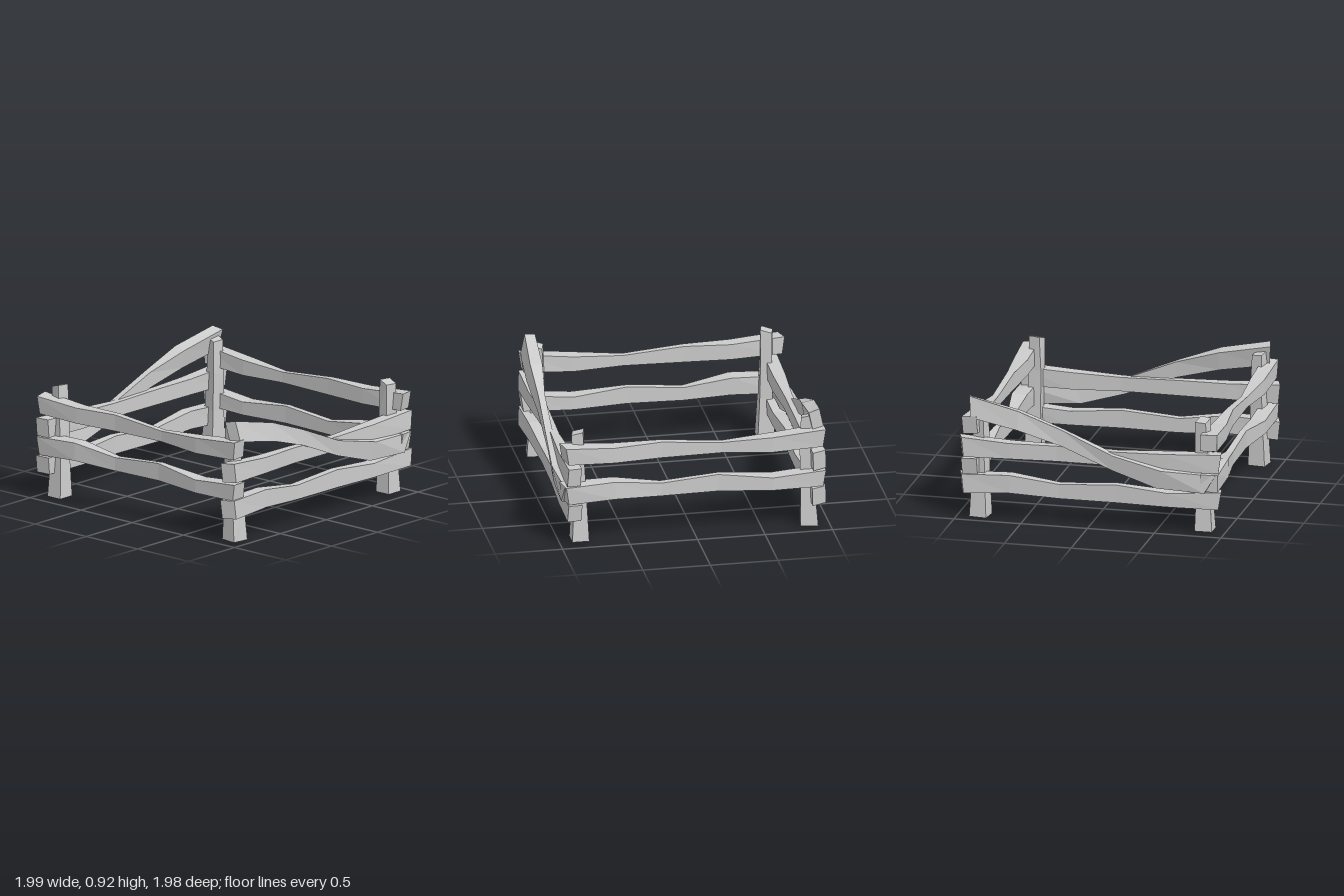
import * as THREE from 'three';

const material = new THREE.MeshStandardMaterial({ color: 0xcccccc, flatShading: true });

// Which world axes a beam's (along, u, v) coordinates map to; all right-handed.
const AXES = {
  x: (a, u, v) => [a, u, v],
  y: (a, u, v) => [v, a, u],
  z: (a, u, v) => [u, v, a],
};

// Rough-hewn beam: lofts four-sided sections, capped at both ends.
// Row: [along, uMin, uMax, vMin, vMax, roll, uSlant, vSlant]; a slant tilts the section along the beam.
function beam(name, axis, rows) {
  const rings = rows.map(([a, u0, u1, v0, v1, roll = 0, su = 0, sv = 0]) => {
    const cu = (u0 + u1) / 2, cv = (v0 + v1) / 2;
    const hu = (u1 - u0) / 2, hv = (v1 - v0) / 2;
    const c = Math.cos(roll), s = Math.sin(roll);
    return [[-1, -1], [1, -1], [1, 1], [-1, 1]].map(([p, q]) => AXES[axis](
      a + su * p + sv * q,
      cu + p * hu * c - q * hv * s,
      cv + p * hu * s + q * hv * c,
    ));
  });
  const pos = [];
  const quad = (a, b, c, d) => pos.push(...a, ...b, ...c, ...a, ...c, ...d);
  for (let i = 0; i < rings.length - 1; i++) {
    for (let k = 0; k < 4; k++) {
      const n = (k + 1) % 4;
      quad(rings[i][k], rings[i][n], rings[i + 1][n], rings[i + 1][k]);
    }
  }
  quad(...rings[0].slice().reverse());
  quad(...rings[rings.length - 1]);
  const geometry = new THREE.BufferGeometry();
  geometry.setAttribute('position', new THREE.Float32BufferAttribute(pos, 3));
  geometry.computeVertexNormals();
  const mesh = new THREE.Mesh(geometry, material);
  mesh.name = name;
  return mesh;
}

// Front rails, one right-hand side and two corner posts.
function createHalf() {
  const half = new THREE.Group();
  half.add(
    // Front rails: u is height, v is depth
    beam('upperFrontRail', 'x', [
      [-0.97, 0.64, 0.77, 0.84, 0.96, 0.05, -0.01, 0.015],
      [-0.6, 0.625, 0.742, 0.84, 0.945],
      [-0.25, 0.625, 0.748, 0.855, 0.908],
      [0.2, 0.63, 0.71, 0.86, 0.905],
      [0.57, 0.62, 0.735, 0.84, 0.945],
      [0.95, 0.64, 0.775, 0.84, 0.95, 0.05, 0.01, 0],
    ]),
    beam('lowerFrontRail', 'x', [
      [-0.97, 0.33, 0.465, 0.84, 0.965, 0.05, -0.01, 0.015],
      [-0.6, 0.345, 0.478, 0.845, 0.96, -0.03],
      [-0.25, 0.325, 0.425, 0.855, 0.908],
      [0.17, 0.33, 0.46, 0.86, 0.905],
      [0.57, 0.322, 0.42, 0.835, 0.95],
      [0.95, 0.33, 0.455, 0.84, 0.955, 0.03, 0.01, 0],
    ]),
    // Side rails: u is across, v is height
    beam('upperSideRail', 'z', [
      [-0.97, 0.855, 0.955, 0.47, 0.612, 0.05, -0.01, -0.01],
      [-0.58, 0.855, 0.95, 0.462, 0.59],
      [-0.2, 0.872, 0.932, 0.47, 0.575],
      [0.25, 0.865, 0.925, 0.47, 0.586],
      [0.6, 0.86, 0.95, 0.47, 0.588],
      [0.965, 0.86, 0.96, 0.465, 0.61, 0.04, -0.018, 0.008],
    ]),
    beam('lowerSideRail', 'z', [
      [-0.97, 0.85, 0.955, 0.195, 0.325, 0.05, -0.01, -0.01],
      [-0.58, 0.855, 0.95, 0.19, 0.295],
      [-0.2, 0.872, 0.932, 0.19, 0.325],
      [0.23, 0.865, 0.925, 0.188, 0.296],
      [0.6, 0.86, 0.95, 0.21, 0.345],
      [0.965, 0.855, 0.96, 0.19, 0.33, 0.04, -0.018, 0.008],
    ]),
    // Fallen top rail slanting down the outside of the other rails
    beam('slantedRail', 'z', [
      [-0.91, 0.9, 0.98, 0.32, 0.455, 0.1, 0, -0.04],
      [-0.53, 0.905, 0.985, 0.34, 0.48, -0.15, 0, -0.02],
      [-0.18, 0.905, 0.96, 0.44, 0.558, -0.12],
      [0.2, 0.905, 0.955, 0.595, 0.715, 0.05],
      [0.53, 0.87, 0.965, 0.69, 0.83, 0.18],
      [0.905, 0.855, 0.94, 0.755, 0.912, 0.22, -0.01, 0.008],
    ]),
    // Corner posts: u is depth, v is across
    beam('rightPost', 'y', [
      [0, 0.77, 0.9, 0.79, 0.92, -0.12],
      [0.32, 0.785, 0.885, 0.795, 0.895, -0.18],
      [0.6, 0.79, 0.88, 0.79, 0.88, -0.25],
      [0.85, 0.8, 0.88, 0.8, 0.88, -0.28, 0.005, 0.01],
    ]),
    beam('leftPost', 'y', [
      [0.01, 0.78, 0.91, -0.91, -0.785],
      [0.32, 0.79, 0.89, -0.895, -0.8],
      [0.6, 0.785, 0.88, -0.895, -0.81, -0.1],
      [0.845, 0.79, 0.875, -0.9, -0.815, -0.25, 0, 0.012],
    ]),
  );
  return half;
}

export function createModel() {
  const model = new THREE.Group();
  model.name = 'fence';
  // The far half repeats the near half, turned around
  ['frontHalf', 'backHalf'].forEach((name, i) => {
    const half = createHalf();
    half.name = name;
    half.rotation.y = i * Math.PI;
    model.add(half);
  });
  return model;
}
